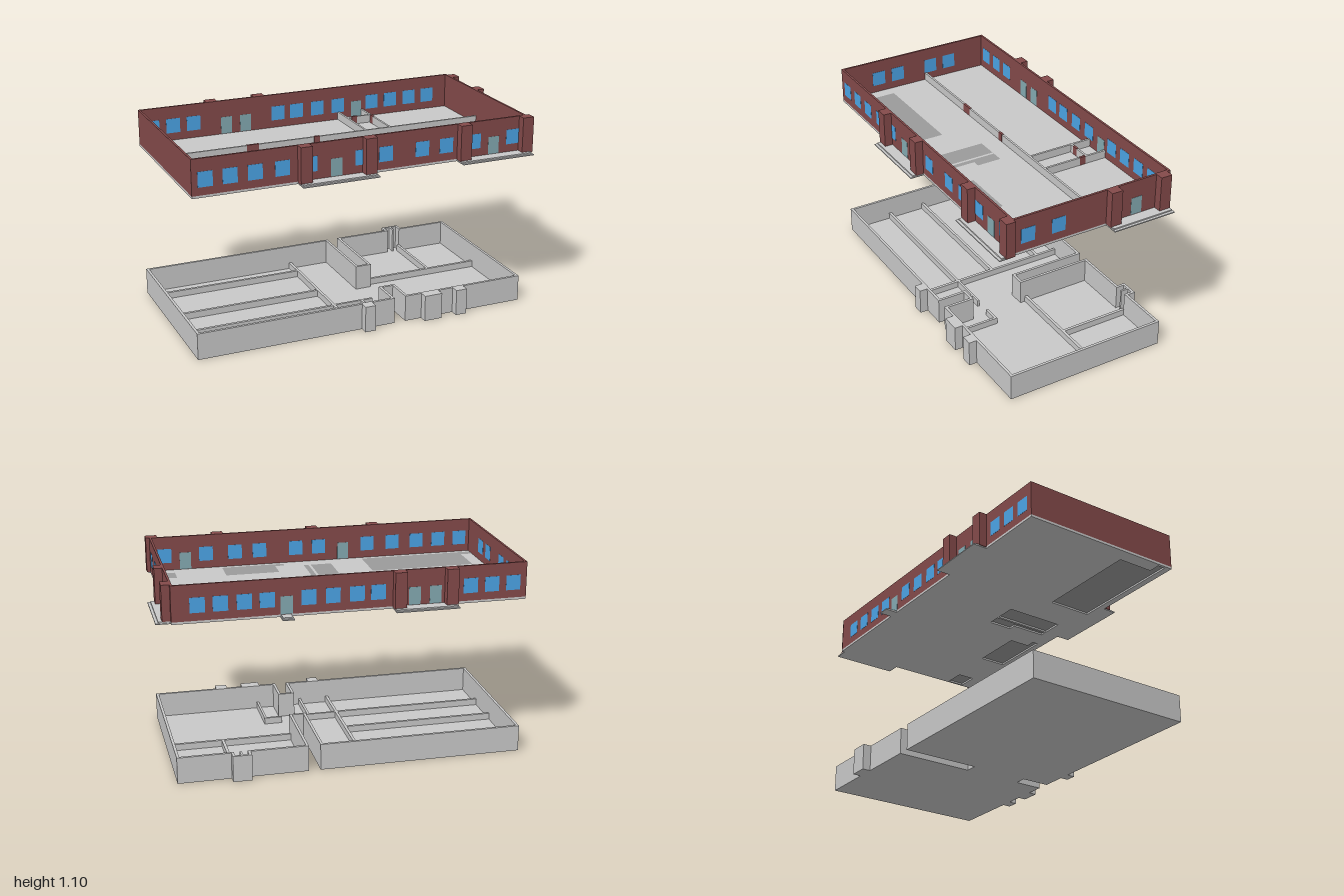
import * as THREE from 'three';

const mat = (name, color) => Object.assign(new THREE.MeshStandardMaterial({ color }), { name });

export function createModel() {
  const concrete = mat('concrete grey', 0xc8c8c8);
  const recess = mat('recess dark grey', 0x9b9b9b);
  const brick = mat('brick red', 0x844a4a);
  const glass = mat('window blue', 0x4ba4e6);
  const doorMat = mat('door teal', 0x84aab2);

  const model = new THREE.Group();
  const upper = new THREE.Group();
  const basement = new THREE.Group();
  upper.name = 'groundFloor';
  basement.name = 'basement';
  model.add(upper, basement);

  // Box given by its limits on each axis
  const box = (parent, name, m, x0, x1, y0, y1, z0, z1) => {
    const mesh = new THREE.Mesh(new THREE.BoxGeometry(x1 - x0, y1 - y0, z1 - z0), m);
    mesh.position.set((x0 + x1) / 2, (y0 + y1) / 2, (z0 + z1) / 2);
    mesh.name = name;
    parent.add(mesh);
  };
  // Plan outline [x, z] extruded upward from y0 to y1; holes wind the opposite way
  const toVec = (pts) => pts.map(([x, z]) => new THREE.Vector2(x, -z));
  const plan = (parent, name, m, pts, holes, y0, y1) => {
    const shape = new THREE.Shape(toVec(pts));
    shape.holes = holes.map((h) => new THREE.Path(toVec(h).reverse()));
    const geo = new THREE.ExtrudeGeometry(shape, { depth: y1 - y0, bevelEnabled: false });
    geo.rotateX(-Math.PI / 2);
    const mesh = new THREE.Mesh(geo, m);
    mesh.position.y = y0;
    mesh.name = name;
    parent.add(mesh);
  };
  // Moves every edge of a right-angled clockwise outline inward by t
  const inset = (pts, t) => {
    const n = pts.length;
    const normal = (a, b) => [-Math.sign(b[1] - a[1]) * t, Math.sign(b[0] - a[0]) * t];
    return pts.map((p, i) => {
      const a = normal(pts[(i + n - 1) % n], p), b = normal(p, pts[(i + 1) % n]);
      return [p[0] + a[0] + b[0], p[1] + a[1] + b[1]];
    });
  };

  const X0 = -1, X1 = 0.921, Z = 0.472, T = 0.012;
  const BASE = 0.895, FLOOR = 0.908, TOP = 1.104;
  const rect = (x0, x1, z0, z1) => [[x0, z0], [x1, z0], [x1, z1], [x0, z1]];

  // Floor slab with openings closed by dark panels
  const openings = [
    [[-0.985, 0.39], [-0.92, 0.39], [-0.92, 0.18], [-0.32, 0.18], [-0.32, 0.435], [-0.985, 0.435]],
    rect(-0.12, 0, 0.04, 0.38),
    [[0.014, 0.04], [0.083, 0.04], [0.083, 0.18], [0.042, 0.18], [0.042, 0.38], [0.014, 0.38]],
    [[0.153, 0.4], [0.207, 0.4], [0.207, 0.28], [0.512, 0.28], [0.512, 0.435], [0.153, 0.435]],
    rect(0.79, 0.909, 0.3, 0.4),
  ];
  const outer = rect(X0, X1, -Z, Z);
  plan(upper, 'floorSlab', concrete, outer, openings, BASE, FLOOR);
  openings.forEach((o) => plan(upper, 'recessPanel', recess, o, [], FLOOR - 0.003, FLOOR));

  // Brick outer walls
  plan(upper, 'outerWalls', brick, outer, [inset(outer, T)], FLOOR, TOP);

  // Windows and doors on the front and back walls, seen from both sides
  const e = 0.001, WY = [0.951, 1.034], DY = [FLOOR + 0.001, 1.007];
  const onLongWall = (name, m, x, w, [y0, y1], side) => {
    const out = side * (Z + e / 2), inn = side * (Z - T - e / 2);
    [out, inn].forEach((z) => box(upper, name, m, x - w / 2, x + w / 2, y0, y1, z - e / 2, z + e / 2));
  };
  [-0.927, -0.795, -0.66, -0.512, -0.358, -0.064, 0.073, 0.287, 0.431, 0.6, 0.839]
    .forEach((x) => onLongWall('frontWindow', glass, x, 0.08, WY, 1));
  [-0.21, 0.72].forEach((x) => onLongWall('frontDoor', doorMat, x, 0.065, DY, 1));
  [-0.925, -0.805, -0.685, -0.175, -0.06, 0.07, 0.2, 0.42, 0.54, 0.665, 0.785]
    .forEach((x) => onLongWall('backWindow', glass, x, 0.08, WY, -1));
  [-0.49, -0.375, 0.318].forEach((x) => onLongWall('backDoor', doorMat, x, 0.065, DY, -1));

  // Openings on the side walls, facing +x
  const onSideWall = (name, m, x, z, w, [y0, y1]) => box(upper, name, m, x, x + e, y0, y1, z - w / 2, z + w / 2);
  [0.38, 0.202].forEach((z) => onSideWall('rightWindow', glass, X1, z, 0.08, WY));
  onSideWall('rightDoor', doorMat, X1, -0.267, 0.065, DY);
  [0.24, 0.115, -0.105, -0.23].forEach((z) => onSideWall('leftWindow', glass, X0 + T, z, 0.08, WY));

  // Porches: two shallow steps and a pair of brick piers
  const steps = (x0, x1, z0, z1, dx, dz) => {
    box(upper, 'lowerStep', concrete, x0, x1, BASE, 0.901, z0, z1);
    const k = 0.015;
    box(upper, 'upperStep', concrete, x0 + (dx ? 0 : 0.005), x1 - (dx ? k : 0.005), 0.901, FLOOR,
      z0 + (dz < 0 ? k : dz ? 0 : 0.005), z1 - (dz > 0 ? k : dz ? 0 : 0.005));
  };
  steps(-0.428, 0.006, Z, 0.55, 0, 1);
  steps(0.497, 0.932, Z, 0.55, 0, 1);
  steps(-0.605, -0.255, -0.552, -Z, 0, -1);
  steps(0.29, 0.353, -0.542, -Z, 0, -1);
  steps(X1, 1, -0.455, -0.085, 1, 0);
  [-0.428, -0.062, 0.497, 0.876].forEach((x) =>
    box(upper, 'frontPier', brick, x, x + 0.066, FLOOR - 0.004, TOP, Z - 0.008, 0.517));
  [-0.605, -0.32].forEach((x) =>
    box(upper, 'backPier', brick, x, x + 0.065, FLOOR - 0.004, TOP, -0.517, -Z + 0.002));
  [-0.45, -0.148].forEach((z) =>
    box(upper, 'rightPier', brick, X1 - 0.002, 0.965, FLOOR - 0.004, TOP, z, z + 0.065));

  // Low inner partitions and red inner doors
  const PH = FLOOR + 0.045;
  box(upper, 'longPartition', concrete, X0 + T, X1 - T, FLOOR, PH, -0.078, -0.066);
  [0.207, 0.357].forEach((x) =>
    box(upper, 'crossPartition', concrete, x - 0.006, x + 0.006, FLOOR, PH, -Z + T, -0.078));
  box(upper, 'shortPartition', concrete, 0.213, 0.351, FLOOR, PH, -0.346, -0.334);
  [[-0.51, -0.44, -0.079, -0.065], [-0.113, -0.078, -0.079, -0.065],
    [0.235, 0.27, -0.347, -0.333], [0.35, 0.364, -0.33, -0.295]]
    .forEach(([x0, x1, z0, z1]) => box(upper, 'innerDoor', brick, x0, x1, FLOOR, PH + 0.002, z0, z1));

  // Basement shell with an entry passage at the back, one at the front, and a niche
  const B = 0.149;
  const outline = [
    [X0, -Z], [0.138, -Z], [0.138, -0.03], [0.203, -0.03], [0.203, -Z], [0.523, -Z], [0.523, -0.519],
    [0.628, -0.519], [0.628, -Z], [X1, -Z], [X1, Z], [0.203, Z], [0.203, 0.31], [0.138, 0.31], [0.138, Z], [X0, Z],
  ];
  plan(basement, 'basementFloor', concrete, outline, [], 0, 0.008);
  plan(basement, 'basementWalls', concrete, outline, [inset(outline, 0.015)], 0.008, B);
  box(basement, 'nicheDivider', concrete, 0.57, 0.581, 0.008, B, -0.51, -0.46);
  [[-0.059, 0.002], [0.302, 0.407], [0.497, 0.562]].forEach(([x0, x1]) =>
    box(basement, 'basementPier', concrete, x0, x1, 0, B, Z - 0.01, 0.518));

  // Low basement partitions
  const low = (x0, x1, z0, z1) => box(basement, 'basementPartition', concrete, x0, x1, 0.008, 0.045, z0, z1);
  [-0.33, -0.02, 0.21].forEach((z) => low(X0 + 0.015, -0.12, z - 0.008, z + 0.008));
  low(-0.12, -0.104, -0.457, 0.457);
  low(0.203, X1 - 0.015, -0.06, -0.044);
  low(0.6, 0.616, -0.457, -0.06);
  low(-0.104, 0.123, 0.2, 0.214);
  low(0.05, 0.064, 0.214, 0.457);
  low(0.218, 0.32, 0.2, 0.214);
  low(0.306, 0.32, 0.214, 0.457);
  return model;
}
